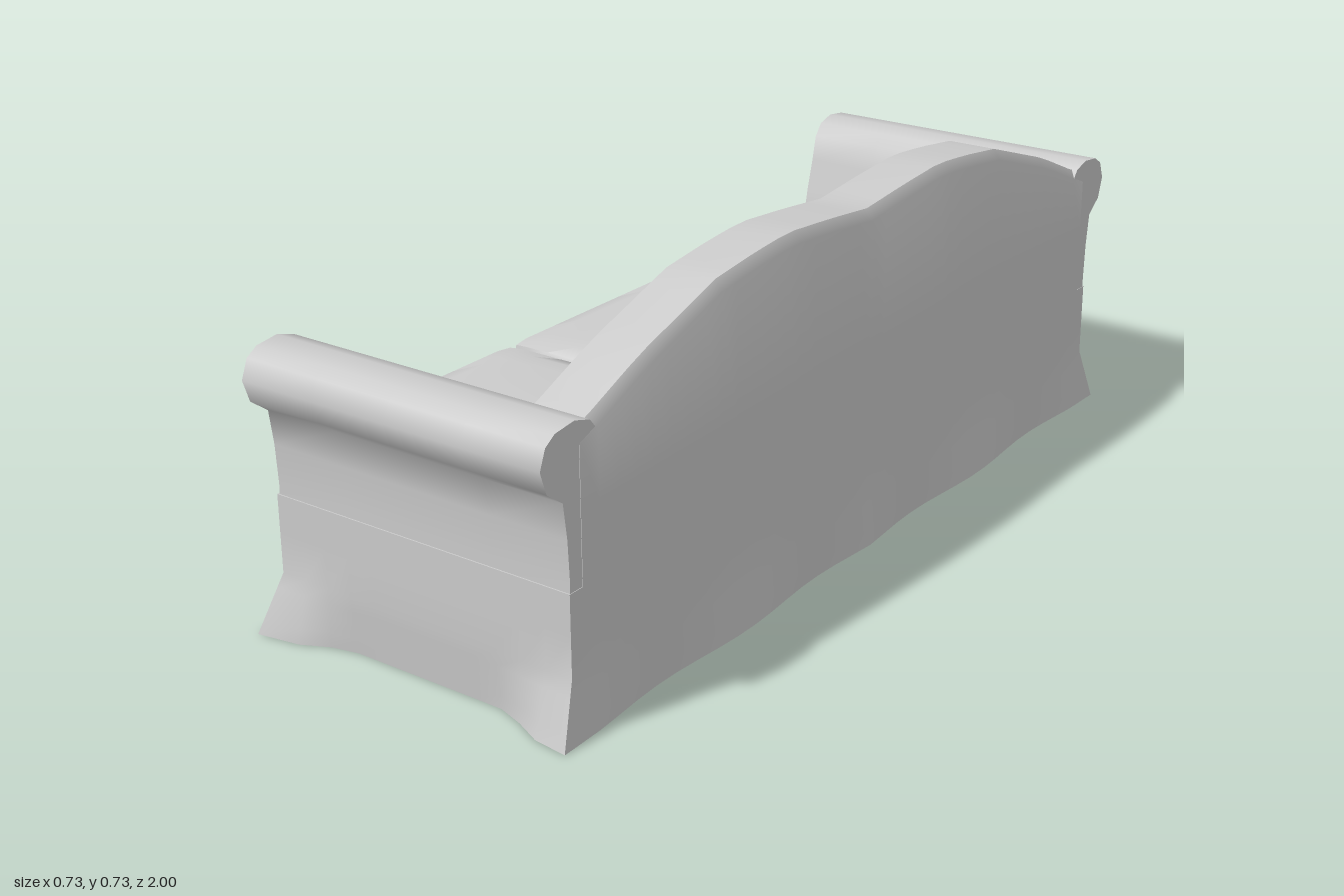
import * as THREE from 'three';
import { mergeVertices, toCreasedNormals } from 'three/addons/utils/BufferGeometryUtils.js';

const material = new THREE.MeshStandardMaterial({ color: 0xcccccc, side: THREE.DoubleSide });

function addMesh(group, name, geometry, crease = 0.75) {
  const mesh = new THREE.Mesh(toCreasedNormals(geometry, crease), material);
  mesh.name = name;
  group.add(mesh);
  return mesh;
}

// Joins equal-length closed rings of [x, y, z] and caps both ends.
// Rings run counter-clockwise seen from the end they advance towards.
function loft(rings) {
  const n = rings[0].length;
  const points = rings.flat();
  const index = [];
  for (let r = 0; r < rings.length - 1; r++) {
    for (let i = 0; i < n; i++) {
      const a = r * n + i, b = r * n + (i + 1) % n;
      index.push(a, b, b + n, a, b + n, a + n);
    }
  }
  const cap = (r, flip) => {
    const centre = [0, 1, 2].map(k => rings[r].reduce((s, p) => s + p[k], 0) / n);
    const c = points.push(centre) - 1;
    for (let i = 0; i < n; i++) {
      const a = r * n + i, b = r * n + (i + 1) % n;
      index.push(c, flip ? b : a, flip ? a : b);
    }
  };
  cap(0, true);
  cap(rings.length - 1, false);
  const geometry = new THREE.BufferGeometry();
  geometry.setAttribute('position', new THREE.Float32BufferAttribute(points.flat(), 3));
  geometry.setIndex(index);
  return geometry;
}

// Linear interpolation through [position, value] pairs.
function sample(table, t) {
  for (let i = 1; i < table.length; i++) {
    const [a, va] = table[i - 1], [b, vb] = table[i];
    if (t <= b) return va + (vb - va) * (t - a) / (b - a);
  }
  return table[table.length - 1][1];
}

// Base with a softly waved skirt that flares at the corners
function baseGeometry() {
  const front = -0.335, back = 0.35, half = 0.935;
  const corners = [[front, half], [back, half], [back, -half], [front, -half]];
  const ringAt = y => {
    const flare = Math.max(0, 1 - y / 0.12);
    const ring = [];
    corners.forEach(([x0, z0], side) => {
      const [x1, z1] = corners[(side + 1) % 4];
      const steps = side % 2 ? 32 : 12;
      for (let i = 0; i < steps; i++) {
        let x = x0 + (x1 - x0) * i / steps;
        let z = z0 + (z1 - z0) * i / steps;
        const wave = 0.018 + 0.016 * Math.cos(4 * Math.PI * (Math.abs(z) - half));
        const corner = THREE.MathUtils.smoothstep(Math.abs(x), 0.17, 0.335);
        const onEnd = Math.abs(Math.abs(z) - half) < 1e-6;
        if (x < front + 1e-6) x -= flare * wave;
        else if (x > back - 1e-6) x += flare * wave * 0.45;
        if (onEnd) z += Math.sign(z) * flare * (0.055 * corner - 0.012);
        ring.push([x, y, z]);
      }
    });
    return ring;
  };
  return loft([0, 0.03, 0.06, 0.09, 0.12, 0.2, 0.28].map(ringAt));
}

// Back rest: a chamfered section swept along the double-humped crest
function backGeometry() {
  const crest = [[0, 0.707], [0.13, 0.72], [0.27, 0.731], [0.38, 0.722], [0.5, 0.707],
    [0.72, 0.635], [0.86, 0.575], [0.9, 0.56]];
  const face = [[0, 0.175], [0.3, 0.175], [0.5, 0.185], [0.7, 0.2], [0.9, 0.21]];
  const rings = [];
  const steps = 36;
  for (let i = 0; i <= steps; i++) {
    const z = -0.9 + 1.8 * i / steps;
    const h = sample(crest, Math.abs(z));
    const f = sample(face, Math.abs(z));
    const section = [[0.35, 0.28], [0.35, 0.42], [0.35, h - 0.022], [0.336, h], [0.23, h],
      [0.212, h - 0.022], [f, h - 0.13], [f, 0.36], [f + 0.02, 0.28]];
    rings.push(section.map(([x, y]) => [x, y, z]));
  }
  return loft(rings);
}

// Arm with a rolled top, as an outline in z and y extruded along x
function armGeometry(side) {
  const outline = [[0.935, 0.2], [0.932, 0.3], [0.936, 0.38], [0.945, 0.45], [0.985, 0.48],
    [1, 0.525], [0.985, 0.563], [0.96, 0.579], [0.91, 0.585], [0.87, 0.573], [0.848, 0.545],
    [0.835, 0.49], [0.815, 0.42], [0.8, 0.35], [0.8, 0.2]];
  const shape = new THREE.Shape(outline.map(([z, y]) => new THREE.Vector2(-side * z, y)));
  const geometry = new THREE.ExtrudeGeometry(shape, { depth: 0.68, steps: 4, bevelEnabled: false });
  geometry.rotateY(Math.PI / 2);
  geometry.translate(-0.331, 0, 0);
  return geometry;
}

// Cushion: a box with rounded edges and a slightly domed top
function cushionGeometry(w, h, d, radius) {
  let geometry = new THREE.BoxGeometry(w, h, d, 12, 4, 12);
  geometry.deleteAttribute('normal');
  geometry.deleteAttribute('uv');
  geometry = mergeVertices(geometry);
  const position = geometry.attributes.position;
  const inner = new THREE.Vector3(w / 2 - radius, h / 2 - radius, d / 2 - radius);
  const p = new THREE.Vector3(), core = new THREE.Vector3();
  for (let i = 0; i < position.count; i++) {
    p.fromBufferAttribute(position, i);
    const u = 2 * p.x / w, v = 2 * p.z / d;
    core.copy(p).clamp(inner.clone().negate(), inner);
    p.sub(core).setLength(radius).add(core);
    if (p.y > 0) p.y += 0.014 * (1 - u * u) * (1 - v * v);
    position.setXYZ(i, p.x, p.y, p.z);
  }
  return geometry;
}

export function createModel() {
  const sofa = new THREE.Group();
  sofa.name = 'sofa';

  addMesh(sofa, 'base', baseGeometry());
  addMesh(sofa, 'backRest', backGeometry(), 0.9);

  for (const side of [1, -1]) {
    addMesh(sofa, side > 0 ? 'leftEndArm' : 'rightEndArm', armGeometry(side), 0.9);
  }

  // Three seat cushions in a row
  for (let i = -1; i <= 1; i++) {
    const cushion = addMesh(sofa, 'seatCushion', cushionGeometry(0.56, 0.1, 0.533, 0.022), 1);
    cushion.position.set(-0.071, 0.314, i * 0.534 - 0.006);
  }
  return sofa;
}
